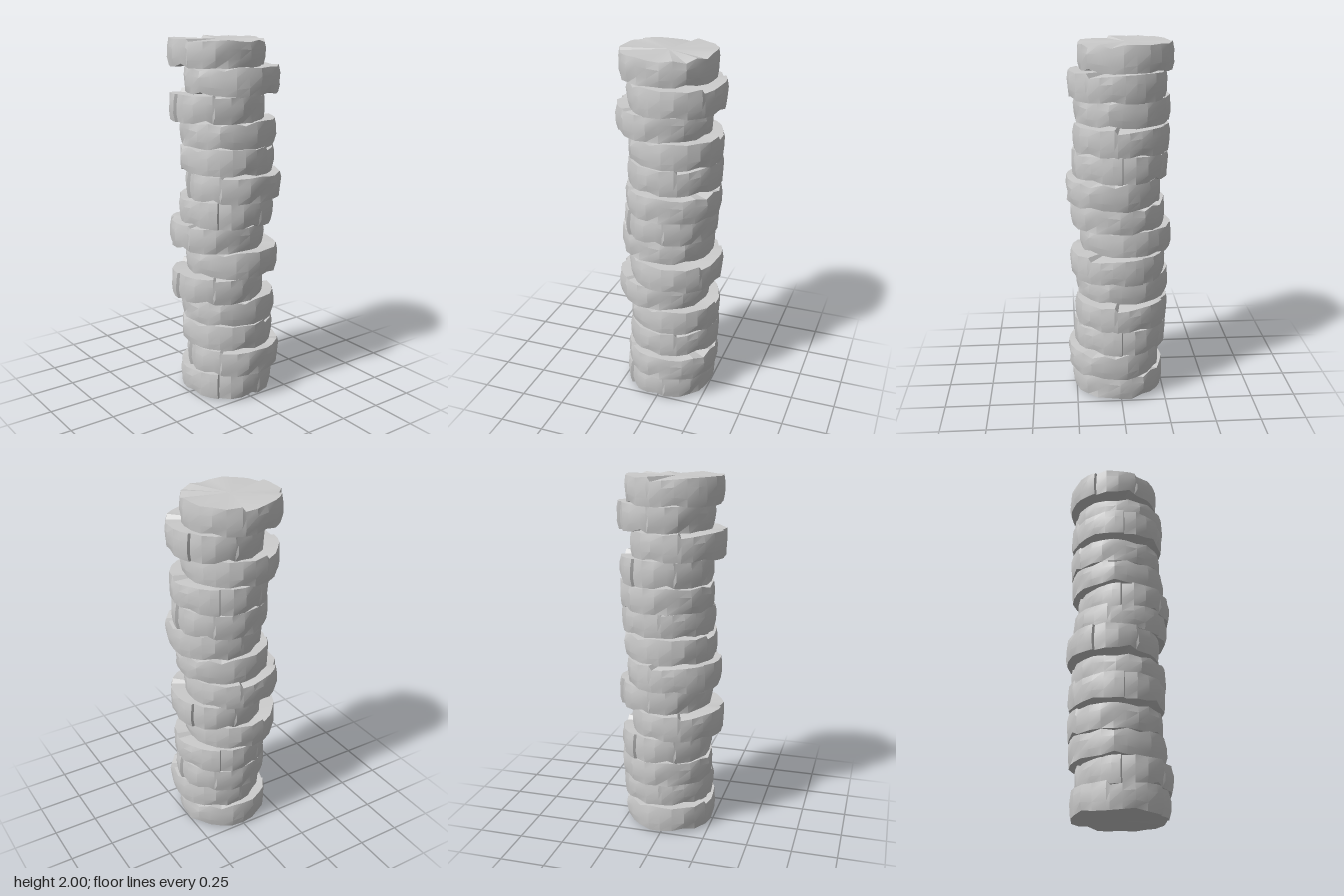
import * as THREE from 'three';
import { toCreasedNormals } from 'three/addons/utils/BufferGeometryUtils.js';

const PITCH = 0.1415;
const HEIGHT = 0.142;

// Rim of one rough stone: angle from the seam (degrees), radius, top offset, bottom offset
const RIM = [
  [0, 0.246, 0.004, 0], [15, 0.258, 0.006, 0], [30, 0.260, 0.002, 0.003],
  [45, 0.258, 0.004, 0.022], [53, 0.257, 0.006, 0.004], [56, 0.257, -0.008, 0],
  [75, 0.258, -0.004, 0], [90, 0.258, -0.002, 0.003], [105, 0.257, 0.002, 0],
  [120, 0.254, -0.006, 0.006], [135, 0.256, -0.012, 0.002], [150, 0.260, -0.002, 0],
  [165, 0.268, -0.016, 0.018], [180, 0.260, 0.002, 0.004], [195, 0.257, -0.014, 0],
  [210, 0.260, 0.004, -0.010], [225, 0.262, 0.006, 0], [240, 0.265, 0.002, 0.004],
  [255, 0.266, 0.005, 0.016], [270, 0.263, 0, 0.002], [287, 0.259, 0.008, 0],
  [291, 0.258, -0.016, 0], [305, 0.255, -0.008, 0.004], [320, 0.253, -0.002, 0.014],
  [335, 0.255, 0.003, 0.002], [348, 0.258, 0.005, 0], [358.5, 0.261, 0.006, 0],
];

// Side rows: height fraction and radius change
const ROWS = [[0, -0.005], [0.3, 0.002], [0.7, 0.003], [1, -0.003]];

function stoneGeometry() {
  const n = RIM.length;
  const position = [];
  const index = [];
  ROWS.forEach(([t, swell], row) => {
    RIM.forEach(([degrees, radius, top, bottom], i) => {
      const a = THREE.MathUtils.degToRad(degrees);
      // Slight unevenness, and a shallow dent on one side
      const dent = i === 8 && row === 1 ? -0.014 : 0;
      const r = radius + swell + dent + 0.003 * Math.sin(i * 2.4 + row * 1.9);
      const y = THREE.MathUtils.lerp(bottom, HEIGHT + top, t);
      position.push(Math.sin(a) * r, y, Math.cos(a) * r);
    });
  });
  const bottomCentre = position.length / 3;
  position.push(0, 0.002, 0, 0, HEIGHT - 0.002, 0);
  const lastRow = (ROWS.length - 1) * n;
  for (let i = 0; i < n; i++) {
    const j = (i + 1) % n;
    for (let k = 0; k < lastRow; k += n) {
      index.push(k + i, k + j, k + n + j, k + i, k + n + j, k + n + i);
    }
    index.push(bottomCentre, j, i, bottomCentre + 1, lastRow + i, lastRow + j);
  }
  const geometry = new THREE.BufferGeometry();
  geometry.setAttribute('position', new THREE.Float32BufferAttribute(position, 3));
  geometry.setIndex(index);
  return toCreasedNormals(geometry, 0.35);
}

// Centre x, centre z and turn in degrees; the set of seven repeats up the column
const LAYOUT = [
  [0.01, -0.003, 45],
  [0.037, -0.027, -15],
  [-0.005, -0.023, 180],
  [-0.012, -0.026, -119],
  [-0.017, 0.043, -3],
  [0.008, -0.038, -150],
  [-0.037, 0.03, -36],
];

export function createModel() {
  const column = new THREE.Group();
  column.name = 'stoneColumn';
  const geometry = stoneGeometry();
  const material = new THREE.MeshStandardMaterial({ color: 0xcccccc });
  for (let i = 0; i < 14; i++) {
    const [x, z, turn] = LAYOUT[i % LAYOUT.length];
    const stone = new THREE.Mesh(geometry, material);
    stone.name = `stoneDisc${i + 1}`;
    stone.position.set(x, 0.01 + i * PITCH, z);
    stone.rotation.y = THREE.MathUtils.degToRad(turn);
    column.add(stone);
  }
  return column;
}
